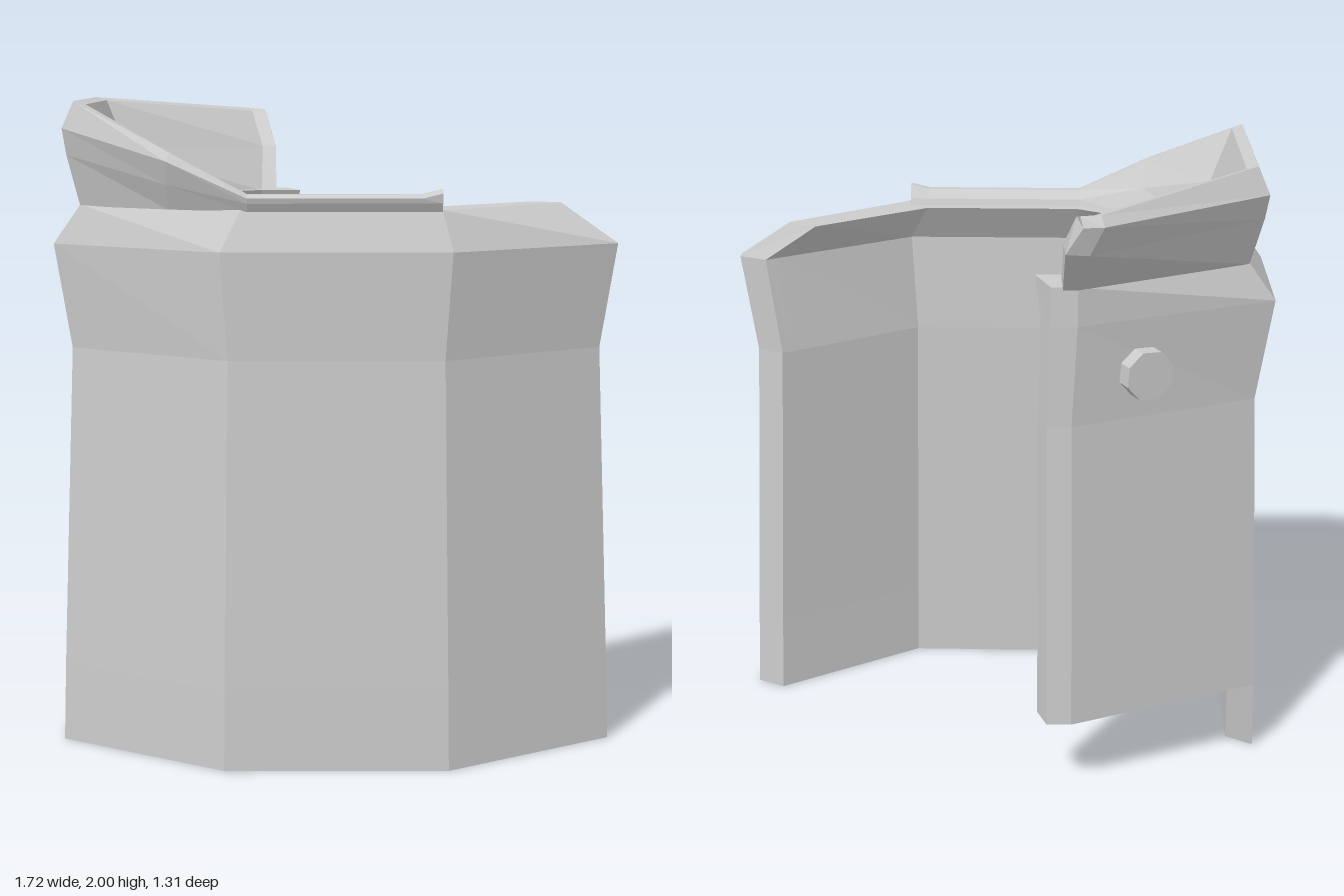
import * as THREE from 'three';

const material = new THREE.MeshStandardMaterial({ color: 0xcccccc, flatShading: true });

// Skin a row of closed cross-sections and cap both ends; faceted triangles
function loft(name, rings) {
  const pos = [];
  const tri = (a, b, c) => {
    const area = new THREE.Triangle(a, b, c).getArea();
    if (area > 1e-7) for (const p of [a, b, c]) pos.push(p.x, p.y, p.z);
  };
  const quad = (a, b, c, d) => { tri(a, b, c); tri(a, c, d); };
  const n = rings[0].length;
  for (let j = 0; j + 1 < rings.length; j++) {
    const A = rings[j], B = rings[j + 1];
    for (let i = 0; i < n; i++) {
      const k = (i + 1) % n;
      quad(A[i], A[k], B[k], B[i]);
    }
  }
  const S = rings[0], E = rings[rings.length - 1];
  for (let i = 0; i < Math.floor(n / 2); i++) {
    quad(S[i], S[n - 1 - i], S[n - 2 - i], S[i + 1]);
    quad(E[i], E[i + 1], E[n - 2 - i], E[n - 1 - i]);
  }
  const geo = new THREE.BufferGeometry();
  geo.setAttribute('position', new THREE.Float32BufferAttribute(pos, 3));
  geo.computeVertexNormals();
  const mesh = new THREE.Mesh(geo, material);
  mesh.name = name;
  return mesh;
}

// Wall section: outer levels going up, then inner levels going down.
// o, i = outer and inner plan points; to, ti = the same at the top rim.
function wallRing({ o, i, to, ti, short = false, shift = 0 }) {
  const levels = [[0, 1, 1.02], [0.25, 0.99, 1.015], [1.25, 0.942, 0.98], [1.57, 1, 1]];
  const side = ([x, z], top) => {
    const pts = levels.map(([y, sx, sz], k) => {
      if (short && k === 0) [y, sx, sz] = levels[1];
      const dz = !short && k === 0 ? shift : 0;
      return new THREE.Vector3(x * sx, y, z * sz + dz);
    });
    pts.push(new THREE.Vector3(top[0], 1.69, top[1]));
    return pts;
  };
  return [...side(o, to), ...side(i, ti).reverse()];
}

export function createModel() {
  const group = new THREE.Group();
  group.name = 'collaredShell';

  // Wall, from the open right end round the front to the short back panel
  const corner = { o: [-0.86, -0.16], i: [-0.775, -0.11], to: [-0.775, -0.16], ti: [-0.6, -0.085] };
  const wall = [
    { o: [0.86, 0.3], i: [0.77, 0.255], to: [0.69, 0.27], ti: [0.6, 0.23] },
    { o: [0.86, 0.335], i: [0.74, 0.275], to: [0.69, 0.29], ti: [0.59, 0.24] },
    { o: [0.34, 0.64], i: [0.31, 0.565], to: [0.31, 0.595], ti: [0.25, 0.49] },
    { o: [-0.34, 0.64], i: [-0.31, 0.565], to: [-0.28, 0.595], ti: [-0.25, 0.49] },
    { o: [-0.86, 0.345], i: [-0.775, 0.295], to: [-0.775, 0.36], ti: [-0.6, 0.27] },
    { ...corner, shift: 0.05 },
    { ...corner, short: true },
    { o: [-0.25, -0.45], i: [-0.25, -0.37], to: [-0.25, -0.45], ti: [-0.25, -0.31], short: true },
    { o: [-0.17, -0.45], i: [-0.14, -0.37], to: [-0.17, -0.45], ti: [-0.12, -0.31], short: true },
  ];
  group.add(loft('wall', wall.map(wallRing)));

  // Collar sections: outer base, outer middle, outer rim, crest, inner rim, inner middle, inner base
  const strip = (x, lift) => [
    [x, 1.685, 0.6], [x, 1.71, 0.615], [x, 1.725 + lift, 0.62], [x, 1.735 + lift, 0.6],
    [x, 1.735 + lift, 0.575], [x, 1.71, 0.54], [x, 1.685, 0.53],
  ];
  const collar = [
    strip(0.31, 0.015),
    strip(0.25, 0),
    strip(-0.26, 0),
    [[-0.5, 1.685, 0.5], [-0.5, 1.76, 0.54], [-0.5, 1.83, 0.57], [-0.49, 1.855, 0.55],
      [-0.48, 1.85, 0.52], [-0.47, 1.77, 0.46], [-0.45, 1.685, 0.42]],
    [[-0.775, 1.685, 0.36], [-0.81, 1.84, 0.39], [-0.82, 1.92, 0.41], [-0.785, 2, 0.4],
      [-0.75, 1.99, 0.38], [-0.68, 1.83, 0.31], [-0.65, 1.685, 0.28]],
    [[-0.775, 1.685, -0.16], [-0.81, 1.84, -0.21], [-0.82, 1.92, -0.24], [-0.785, 2, -0.21],
      [-0.75, 1.99, -0.2], [-0.68, 1.83, -0.14], [-0.65, 1.685, -0.11]],
    [[-0.25, 1.685, -0.46], [-0.28, 1.83, -0.61], [-0.32, 1.925, -0.655], [-0.31, 1.955, -0.635],
      [-0.29, 1.945, -0.595], [-0.25, 1.83, -0.47], [-0.25, 1.685, -0.355]],
    [[-0.205, 1.685, -0.46], [-0.21, 1.83, -0.6], [-0.26, 1.92, -0.645], [-0.25, 1.95, -0.63],
      [-0.24, 1.94, -0.59], [-0.205, 1.83, -0.47], [-0.2, 1.685, -0.36]],
  ];
  group.add(loft('collar', collar.map(r => r.map(p => new THREE.Vector3(...p)))));

  // Eight-sided button on the back panel
  const button = new THREE.Mesh(new THREE.CylinderGeometry(0.08, 0.08, 0.1, 8), material);
  button.name = 'button';
  const normal = new THREE.Vector3(-0.43, 0, -0.9).normalize();
  button.quaternion.setFromUnitVectors(new THREE.Vector3(0, 1, 0), normal);
  button.position.set(-0.45, 1.4, -0.35);
  group.add(button);

  return group;
}
